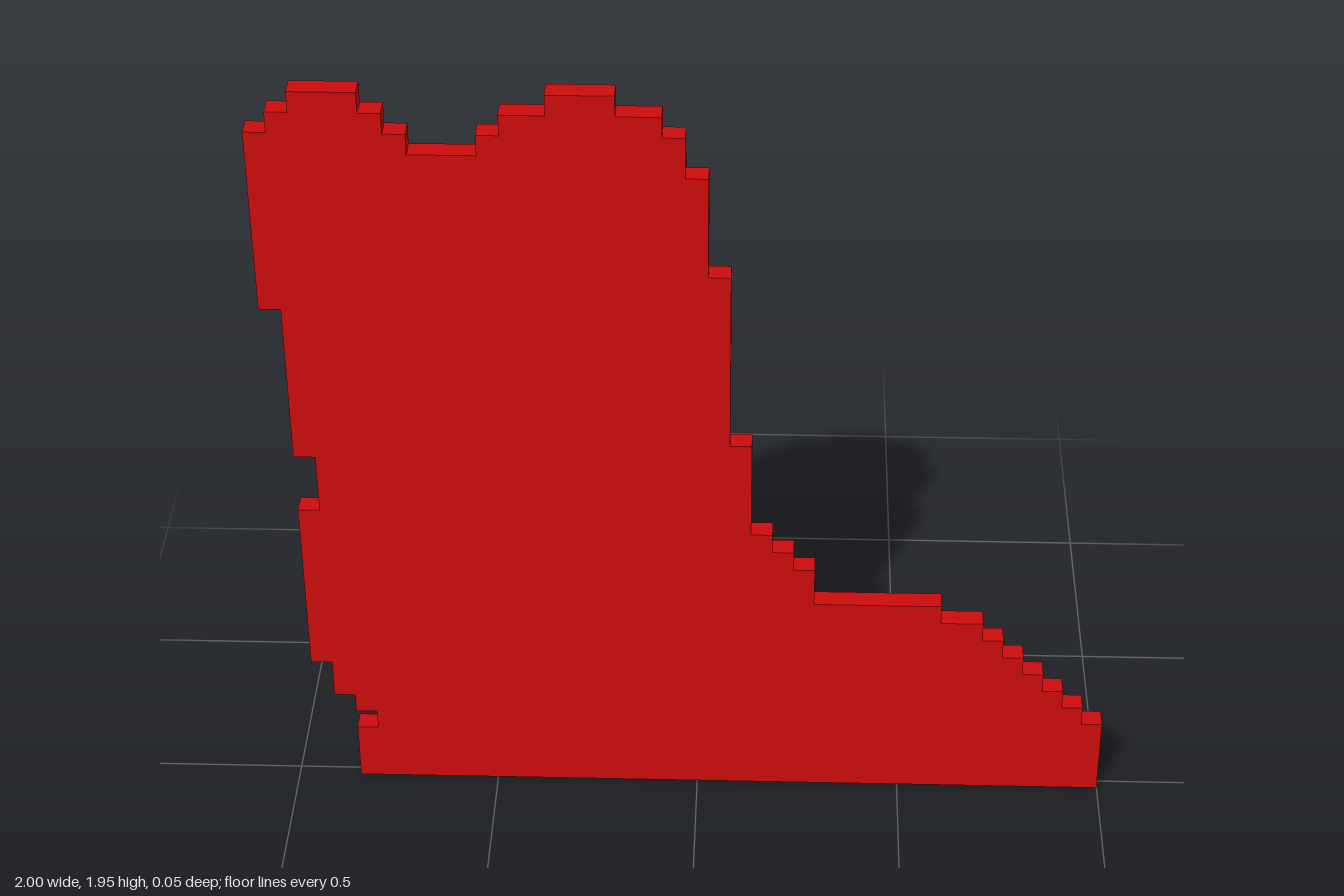
import * as THREE from 'three';

// Size of one square step of the blocky outline
const CELL = 2 / 39;

// Top edge from left to right: [column where the step ends, height in cells]
const topSteps = [
  [1, 36], [2, 37], [5, 38], [6, 37], [7, 36], [10, 35], [11, 36], [13, 37],
  [16, 38], [18, 37], [19, 36], [20, 34], [21, 29], [22, 20], [23, 15],
  [24, 14], [25, 13], [31, 11], [33, 10], [34, 9], [35, 8], [36, 7],
  [37, 6], [38, 5], [39, 4],
];

// Heel edge from bottom to top: [row where the step ends, column of the edge]
const heelSteps = [[3, 3], [4, 4], [5, 3], [7, 2], [16, 1], [19, 2], [27, 1], [36, 0]];

function bootOutline() {
  const points = [];
  const add = (col, row) => points.push(new THREE.Vector2(col * CELL - 1, row * CELL));

  let row = 0;
  for (const [endRow, col] of heelSteps) {
    add(col, row);
    if (endRow < 36) add(col, endRow);
    row = endRow;
  }
  let col = 0;
  for (const [endCol, height] of topSteps) {
    add(col, height);
    add(endCol, height);
    col = endCol;
  }
  add(39, 0);
  return new THREE.Shape(points);
}

export function createModel() {
  const model = new THREE.Group();
  model.name = 'boot';

  const red = new THREE.MeshStandardMaterial({ color: 0xcc0c0c });
  red.name = 'red';

  // Flat boot plate, one cell thick
  const geometry = new THREE.ExtrudeGeometry(bootOutline(), { depth: CELL, bevelEnabled: false });
  geometry.translate(0, 0, -CELL / 2);

  const boot = new THREE.Mesh(geometry, red);
  boot.name = 'bootPlate';
  model.add(boot);
  return model;
}
